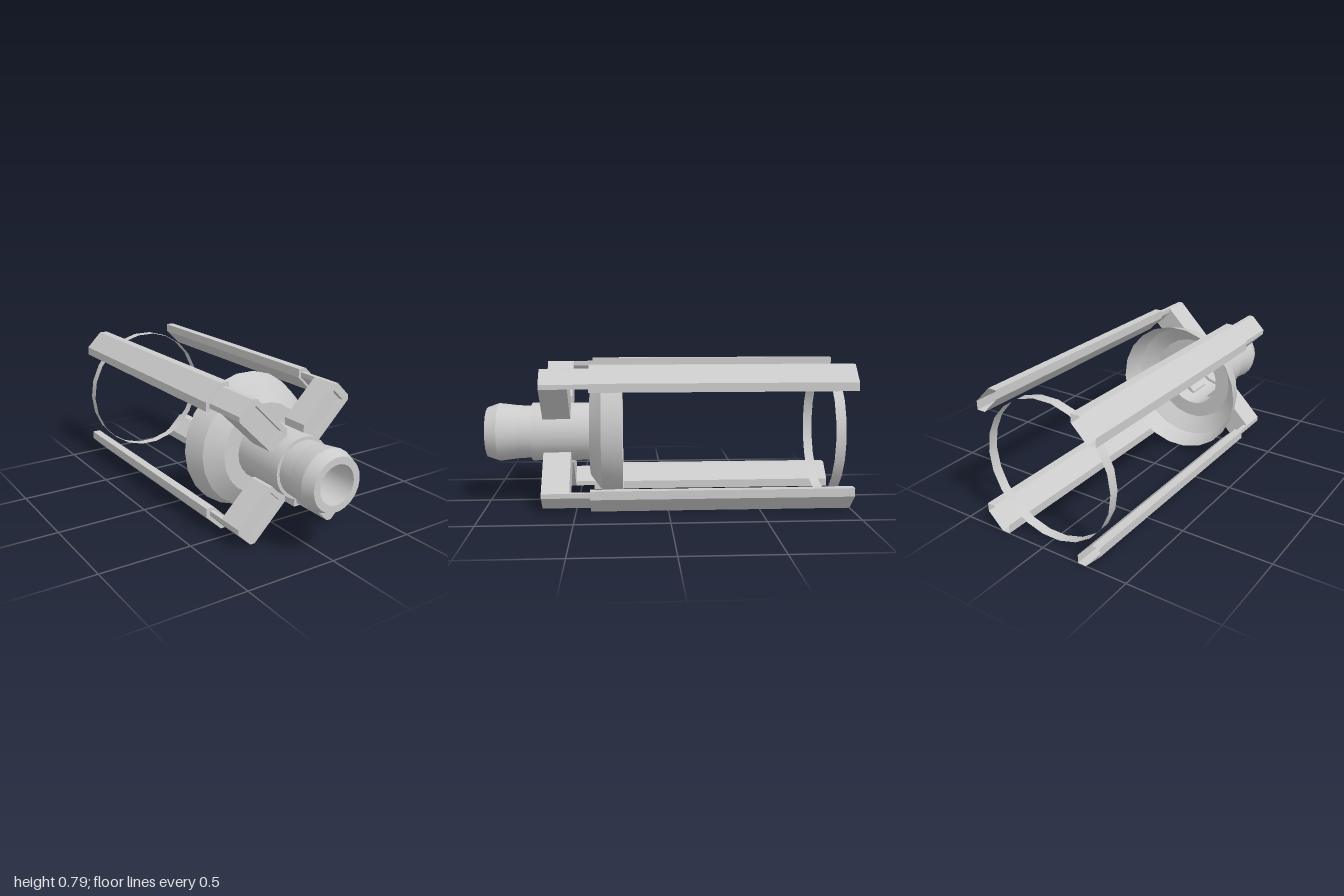
import * as THREE from 'three';

const AXIS_Y = 0.3975;
const grey = new THREE.MeshStandardMaterial({ color: 0xcccccc, side: THREE.DoubleSide });
const flat = new THREE.MeshStandardMaterial({ color: 0xcccccc, side: THREE.DoubleSide, flatShading: true });

// Turned part along z: each [radius, z] span is its own smooth band, with sharp edges between bands
function turned(name, points) {
  const part = new THREE.Group();
  part.name = name;
  for (let i = 0; i < points.length - 1; i++) {
    const span = [points[i], points[i + 1]].map(([r, z]) => new THREE.Vector2(r, z));
    const geo = new THREE.LatheGeometry(span, 22, Math.PI / 2);
    geo.rotateX(Math.PI / 2);
    const band = new THREE.Mesh(geo, grey);
    band.name = name + 'Band';
    part.add(band);
  }
  return part;
}

function outline(points) {
  return points.map(([x, y]) => new THREE.Vector2(x, y));
}

// Straight prism from z0 to z1
function prism(name, points, z0, z1, hole) {
  const shape = new THREE.Shape(outline(points));
  if (hole) shape.holes.push(new THREE.Path(outline(hole)));
  const geo = new THREE.ExtrudeGeometry(shape, { depth: z1 - z0, bevelEnabled: false });
  geo.translate(0, 0, z0);
  const mesh = new THREE.Mesh(geo, flat);
  mesh.name = name;
  return mesh;
}

// Elongated hexagon: flat half-width a, full half-width b, centred at height c
function hexagon(a, b, c) {
  const h = b - a;
  return [[-b, c], [-a, c - h], [a, c - h], [b, c], [a, c + h], [-a, c + h]];
}

// Long hexagonal tube, capped at the front and open at the back
function rail() {
  const group = new THREE.Group();
  group.name = 'rail';
  const hex = hexagon(0.0615, 0.0945, 0.436);
  const pos = [];
  hex.forEach(([x0, y0], i) => {
    const [x1, y1] = hex[(i + 1) % 6];
    pos.push(x0, y0, -1, x1, y1, -1, x1, y1, 0.42, x0, y0, -1, x1, y1, 0.42, x0, y0, 0.42);
  });
  const geo = new THREE.BufferGeometry();
  geo.setAttribute('position', new THREE.Float32BufferAttribute(pos, 3));
  geo.computeVertexNormals();
  const walls = new THREE.Mesh(geo, flat);
  walls.name = 'railWalls';
  const capGeo = new THREE.ShapeGeometry(new THREE.Shape(outline(hex)));
  capGeo.translate(0, 0, 0.42);
  const cap = new THREE.Mesh(capGeo, flat);
  cap.name = 'railFrontCap';
  group.add(walls, cap);
  return group;
}

// One arm in local space: y points outward from the axis
function armAssembly() {
  const group = new THREE.Group();
  const body = [
    [-0.033, 0.136], [0.033, 0.136], [0.07, 0.173], [0.07, 0.433],
    [0.052, 0.451], [-0.052, 0.451], [-0.07, 0.433], [-0.07, 0.173],
  ];
  const pocket = [[-0.042, 0.187], [-0.042, 0.411], [0.042, 0.411], [0.042, 0.187]];
  group.add(
    prism('armBody', body, 0.53, 0.65),
    prism('armPocketRim', body, 0.65, 0.68, pocket),
    prism('railBracket', hexagon(0.052, 0.07, 0.433), 0.42, 0.53),
    rail(),
  );
  return group;
}

export function createModel() {
  const model = new THREE.Group();
  model.name = 'fourRailHolder';

  const core = new THREE.Group();
  core.name = 'core';
  core.position.y = AXIS_Y;
  model.add(core);

  // Hollow hub with a flared nozzle at the front
  core.add(turned('hub', [
    [0.103, 0.72], [0.103, 1], [0.14, 1], [0.163, 0.935],
    [0.15, 0.83], [0.146, 0.75], [0.163, 0.75], [0.163, 0.425],
  ]));

  // Thin dish, open to the back
  core.add(turned('dish', [[0.163, 0.425], [0.25, 0.425], [0.34, 0.36], [0.376, 0.245]]));

  // Thin hoop near the back end
  core.add(turned('rearHoop', [[0.376, -0.88], [0.376, -0.935]]));

  // Four diagonal arms, each set slightly off the axis toward the vertical
  const shift = 0.0295 / Math.SQRT2;
  for (const sx of [-1, 1]) {
    for (const sy of [-1, 1]) {
      const arm = armAssembly();
      arm.name = (sy > 0 ? 'upper' : 'lower') + (sx > 0 ? 'Left' : 'Right') + 'Arm';
      arm.position.set(-sx * shift, sy * shift, 0);
      arm.rotation.z = Math.atan2(sy, sx) - Math.PI / 2;
      core.add(arm);
    }
  }
  return model;
}
